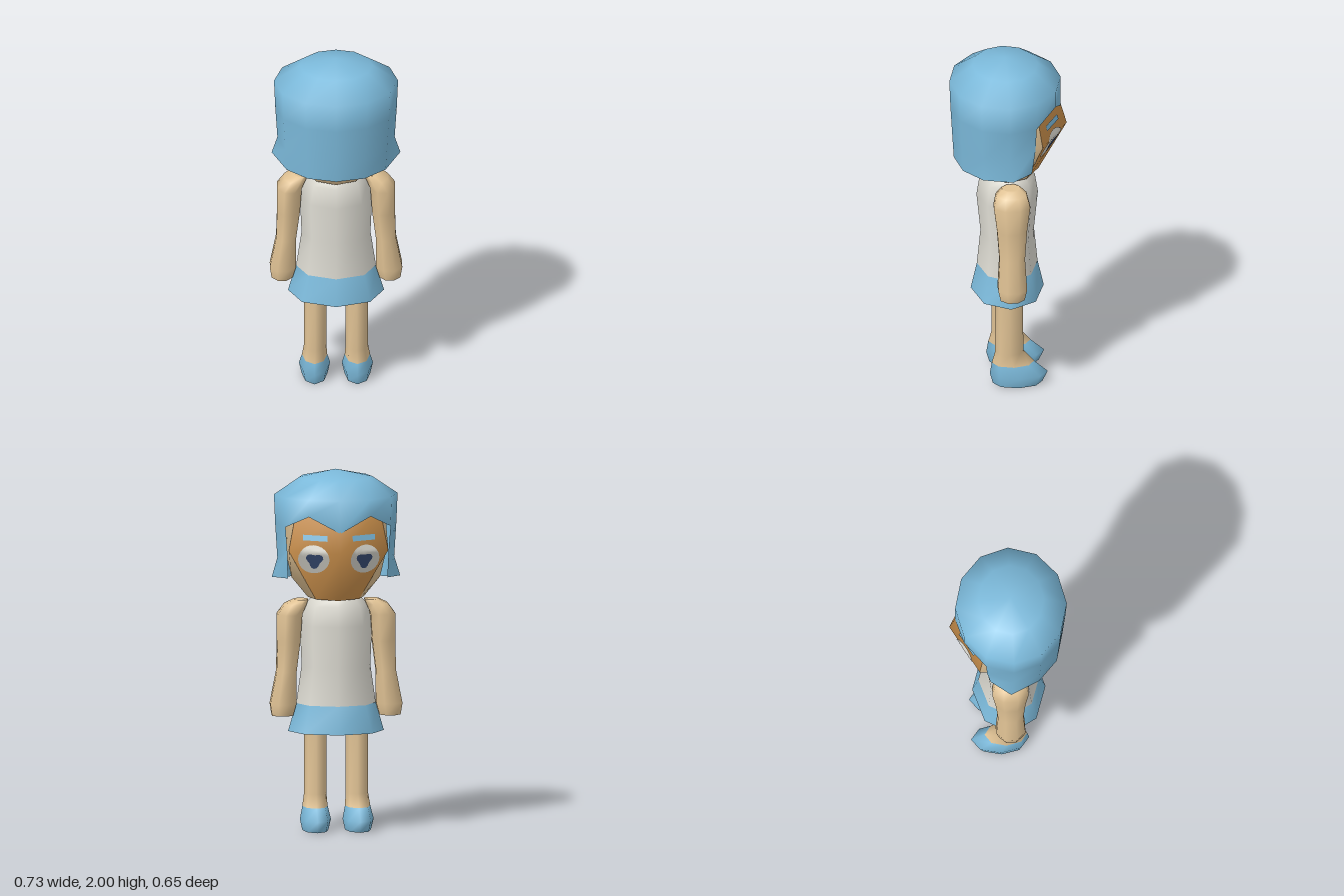
import * as THREE from 'three';
import { mergeVertices } from 'three/addons/utils/BufferGeometryUtils.js';

function material(name, color, side = THREE.FrontSide) {
  const m = new THREE.MeshStandardMaterial({ color, side });
  m.name = name;
  return m;
}

// Skin over rings of [x, y, z] points, listed from top to bottom
function loft(rings, { closed = true, top = false, bottom = false, skip = () => false } = {}) {
  const n = rings[0].length, pos = rings.flat(2), idx = [];
  for (let r = 0; r < rings.length - 1; r++) {
    for (let c = 0; c < (closed ? n : n - 1); c++) {
      if (skip(r, c)) continue;
      const a = r * n + c, b = r * n + (c + 1) % n;
      idx.push(a, b, b + n, a, b + n, a + n);
    }
  }
  const cap = (ring, up) => {
    const base = pos.length / 3;
    pos.push(...ring.flat(), ...[0, 1, 2].map(k => ring.reduce((s, p) => s + p[k], 0) / n));
    for (let c = 0; c < n; c++) {
      const d = (c + 1) % n;
      idx.push(base + n, base + (up ? d : c), base + (up ? c : d));
    }
  };
  if (top) cap(rings[0], true);
  if (bottom) cap(rings[rings.length - 1], false);
  const g = new THREE.BufferGeometry();
  g.setAttribute('position', new THREE.Float32BufferAttribute(pos, 3));
  g.setIndex(idx);
  g.computeVertexNormals();
  return g;
}

// Elliptical ring, starting at -z and turning towards +x
function ellipse(y, cx, rx, cz, rz, n = 8, turn = 0) {
  return Array.from({ length: n }, (_, i) => {
    const a = (i + turn) / n * Math.PI * 2;
    return [cx + Math.sin(a) * rx, y, cz - Math.cos(a) * rz];
  });
}

// Face rows: y, z of the middle ridge, x and z of the outer edge
const FACE = [
  [1.80, -0.262, 0.23, -0.135],
  [1.57, -0.325, 0.275, -0.17],
  [1.29, -0.17, 0.12, -0.095],
];

function faceZ(x, y) {
  const [p, q] = y > FACE[1][0] ? [FACE[0], FACE[1]] : [FACE[1], FACE[2]];
  const t = (p[0] - y) / (p[0] - q[0]);
  const [, mid, ex, ez] = p.map((v, i) => v + (q[i] - v) * t);
  return mid + (ez - mid) * Math.abs(x) / ex;
}

// Lays a flat geometry over the face
function onFace(g, cx, cy, lift) {
  g.rotateY(Math.PI);
  g.translate(cx, cy, 0);
  const p = g.attributes.position;
  for (let i = 0; i < p.count; i++) p.setZ(i, faceZ(p.getX(i), p.getY(i)) - lift);
  g.computeVertexNormals();
  return g;
}

export function createModel() {
  const group = new THREE.Group();
  group.name = 'figure';
  const skin = material('skin', 0xe0c294);
  const faceTan = material('face orange', 0xd0944e);
  const blue = material('blue', 0x7cbadb);
  const hairBlue = material('hair blue', 0x7cbadb, THREE.DoubleSide);
  const white = material('off white', 0xdddbd2);
  const navy = material('navy', 0x3b4f78);
  const add = (name, geometry, mat) => {
    const m = new THREE.Mesh(geometry, mat);
    m.name = name;
    group.add(m);
  };

  // Torso and skirt
  const waist = ellipse(0.70, 0, 0.22, 0.004, 0.168);
  add('top', loft([
    ellipse(1.295, 0, 0.13, 0.004, 0.125),
    ellipse(1.25, 0, 0.175, 0.004, 0.153),
    ellipse(1.14, 0, 0.2, 0.004, 0.17),
    ellipse(0.91, 0, 0.19, 0.004, 0.148),
    waist,
  ], { top: true }), white);
  add('skirt', loft([waist, ellipse(0.545, 0, 0.265, 0.004, 0.202)], { bottom: true }), blue);

  // Head: front wedge, skull behind it, flat underside
  add('face', loft(FACE.map(([y, mid, x, z]) => [[-x, y, z], [0, y, mid], [x, y, z]]),
    { closed: false }), faceTan);
  const skullRow = (y, ex, ez, sx, bz) => [
    [ex, y, ez], [sx, y, 0.01], [sx * 0.72, y, bz * 0.74], [0, y, bz],
    [-sx * 0.72, y, bz * 0.74], [-sx, y, 0.01], [-ex, y, ez],
  ];
  add('skull', loft([
    skullRow(1.80, 0.23, -0.135, 0.27, 0.26),
    skullRow(1.57, 0.275, -0.17, 0.285, 0.27),
    skullRow(1.40, 0.181, -0.124, 0.245, 0.23),
    skullRow(1.29, 0.12, -0.095, 0.155, 0.17),
  ], { closed: false }), skin);
  add('chinUnderside', loft([[
    [0, 1.29, -0.17], ...skullRow(1.29, 0.12, -0.095, 0.155, 0.17),
  ]], { bottom: true }), skin);

  // Bobbed hair, open over the face, flicked out at the sides
  const N = 12;
  const hairPoint = (c, y, s) => {
    const a = c / N * Math.PI * 2;
    return [Math.sin(a) * 0.342 * s, y, 0.016 - Math.cos(a) * 0.308 * s];
  };
  const hairRing = (yAt, sAt) => Array.from({ length: N }, (_, c) => {
    const fromFront = Math.min(c, N - c);
    return hairPoint(c, yAt(fromFront), sAt(fromFront));
  });
  const fringe = [1.68, 1.77, 1.70];
  const hem = hairRing(f => (f < 3 ? 1.41 : 1.38), () => 0.92);
  for (const [c, s] of [[3, 1], [9, -1]]) hem[c] = [s * 0.355, 1.405, 0];
  for (const [c, s] of [[2, 1], [10, -1]]) hem[c] = [s * 0.275, 1.41, -0.11];
  const hair = loft([
    hairRing(() => 2, () => 0),
    hairRing(() => 1.957, () => 0.59),
    hairRing(() => 1.862, () => 1),
    hairRing(f => fringe[f] ?? 1.70, f => (f < 2 ? 1 : 0.98)),
    hairRing(f => (f === 2 ? 1.56 : 1.51), () => 0.945),
    hem,
  ], { skip: (r, c) => r > 2 && (c < 2 || c > 9) });
  hair.deleteAttribute('normal');
  const hairGeometry = mergeVertices(hair);
  hairGeometry.computeVertexNormals();
  add('hair', hairGeometry, hairBlue);

  for (const [side, s] of [['left', 1], ['right', -1]]) {
    // Eye, three-lobed pupil and brow
    const eye = new THREE.RingGeometry(0.001, 1, 24, 6).scale(0.083, 0.082, 1);
    add(side + 'EyeWhite', onFace(eye, s * 0.142, 1.53, 0.005), white);
    const pupil = new THREE.RingGeometry(0.001, 0.05, 24, 4);
    const p = pupil.attributes.position;
    for (let i = 0; i < p.count; i++) {
      const k = 0.82 + 0.18 * Math.sin(3 * Math.atan2(p.getY(i), p.getX(i)));
      p.setXY(i, p.getX(i) * k, p.getY(i) * k);
    }
    add(side + 'Pupil', onFace(pupil, s * 0.138, 1.525, 0.009), navy);
    add(side + 'Brow', onFace(new THREE.PlaneGeometry(0.13, 0.03, 6, 1), s * 0.135, 1.65, 0.006), blue);

    // Arm with a blunt hand: y, centre x, half width, half depth
    add(side + 'Arm', loft([
      [1.28, 0.195, 0.04, 0.05],
      [1.255, 0.225, 0.06, 0.085],
      [1.20, 0.257, 0.068, 0.1],
      [1.05, 0.262, 0.063, 0.082],
      [0.88, 0.275, 0.055, 0.07],
      [0.70, 0.293, 0.072, 0.08],
      [0.635, 0.297, 0.058, 0.066],
    ].map(([y, cx, rx, rz]) => ellipse(y, s * cx, rx / 0.924, 0, rz / 0.924, 8, 0.5)),
    { top: true, bottom: true }), skin);

    // Leg and shoe, toes towards -z
    const ankle = ellipse(0.13, s * 0.118, 0.07, -0.018, 0.117);
    add(side + 'Leg', loft([
      ellipse(0.58, s * 0.115, 0.062, 0.004, 0.077),
      ellipse(0.2, s * 0.115, 0.062, 0.002, 0.078),
      ankle,
    ]), skin);
    add(side + 'Shoe', loft([
      ankle,
      ellipse(0.062, s * 0.118, 0.086, -0.05, 0.16),
      ellipse(0, s * 0.118, 0.072, -0.044, 0.137),
    ], { bottom: true }), blue);
  }
  return group;
}
